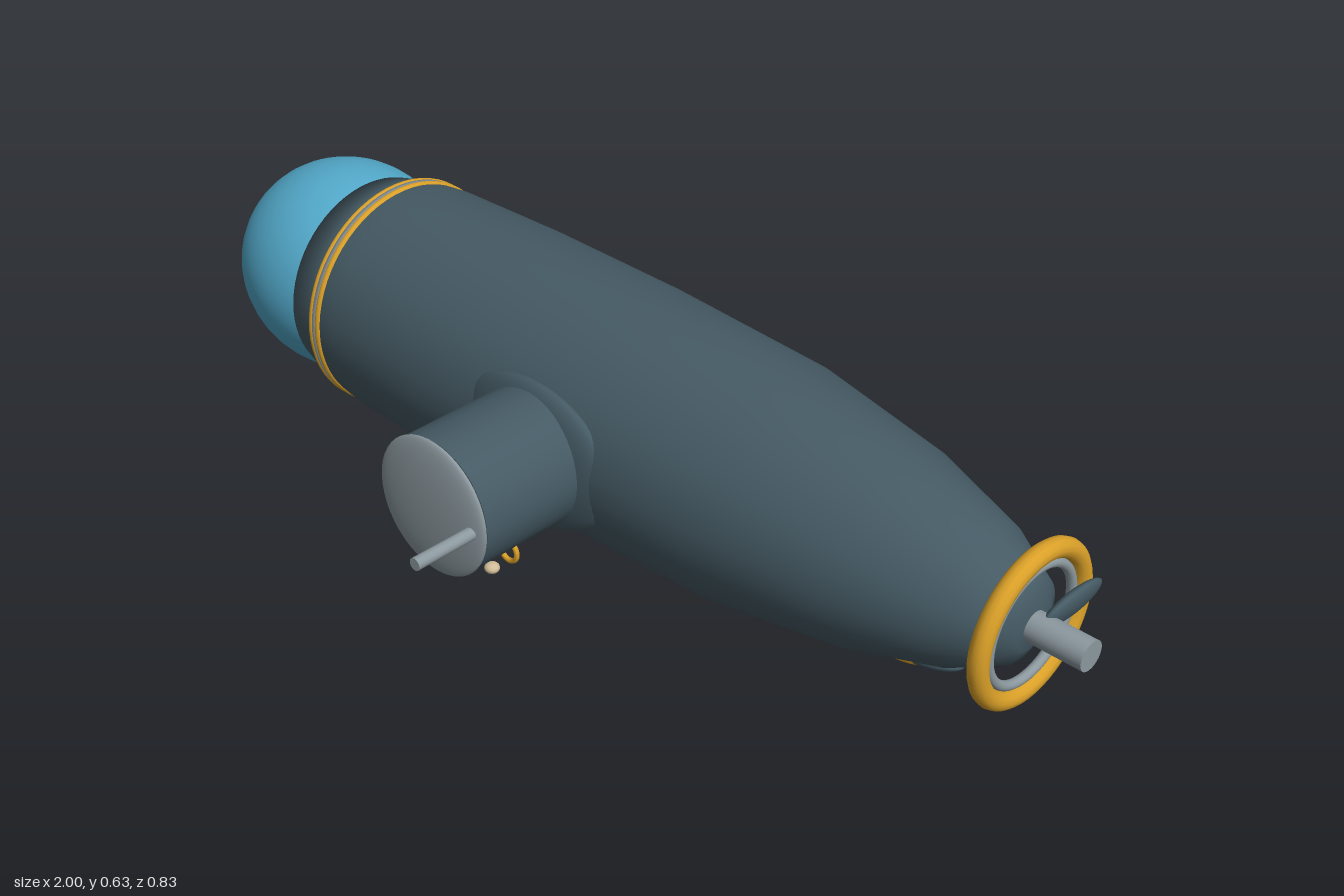
import * as THREE from 'three';

const mat = (name, color) => {
  const m = new THREE.MeshStandardMaterial({ color });
  m.name = name;
  return m;
};

export function createModel() {
  const slate = mat('slate hull', 0x455a64);
  const gold = mat('gold trim', 0xdaa028);
  const blue = mat('blue dome', 0x52a8c9);
  const steel = mat('pale steel', 0x8c999f);
  const cream = mat('cream lamp', 0xd2bd98);

  const model = new THREE.Group();
  model.name = 'submarine';
  const AY = 0.395, AZ = -0.172; // hull axis, running along x

  function add(name, geometry, material, x, y, z) {
    const mesh = new THREE.Mesh(geometry, material);
    mesh.name = name;
    mesh.position.set(x, y, z);
    model.add(mesh);
    return mesh;
  }
  const ellipsoid = (name, material, [x, y, z], [rx, ry, rz], seg = 32) =>
    add(name, new THREE.SphereGeometry(1, seg, seg / 2).scale(rx, ry, rz), material, x, y, z);
  const ringX = (name, material, x, radius, tube) =>
    add(name, new THREE.TorusGeometry(radius, tube, 12, 64).rotateY(Math.PI / 2), material, x, AY, AZ);
  const latheX = (name, material, profile) =>
    add(name, new THREE.LatheGeometry(profile.map(([x, r]) => new THREE.Vector2(r, x)), 64)
      .rotateZ(-Math.PI / 2), material, 0, AY, AZ);

  // Hull: profile of [x, radius] from nose to tail
  latheX('hull', slate, [
    [-0.705, 0], [-0.705, 0.203], [-0.64, 0.22], [-0.56, 0.229], [-0.32, 0.236], [-0.02, 0.236],
    [0.33, 0.224], [0.6, 0.183], [0.78, 0.13], [0.875, 0.078], [0.89, 0.045], [0.895, 0],
  ]);

  // Glass nose and the trim band behind it
  ellipsoid('noseDome', blue, [-0.775, AY, AZ], [0.225, 0.21, 0.21], 48);
  latheX('noseBand', steel, [[-0.622, 0.215], [-0.622, 0.227], [-0.608, 0.228], [-0.608, 0.215]]);
  for (const x of [-0.624, -0.606]) ringX('noseTrim', gold, x, 0.222, 0.007);

  // Tail rings, shaft and single propeller blade
  ringX('tailRing', gold, 0.885, 0.135, 0.018);
  ringX('innerTailRing', steel, 0.885, 0.109, 0.009);
  add('propellerShaft', new THREE.CylinderGeometry(0.028, 0.028, 0.14, 24).rotateZ(Math.PI / 2),
    steel, 0.93, AY, AZ);
  const blade = ellipsoid('propellerBlade', slate, [0.91, 0.412, -0.245], [0.014, 0.034, 0.078]);
  blade.rotation.z = -0.3;

  // Side turret facing forward: collar, barrel, end cap and probe
  const TX = -0.024, TY = 0.393;
  ellipsoid('turretCollar', slate, [TX, TY, 0.038], [0.187, 0.144, 0.036], 48);
  add('turretBarrel', new THREE.CylinderGeometry(0.129, 0.129, 0.3, 48).rotateX(Math.PI / 2),
    slate, TX, TY, 0.125);
  ellipsoid('turretCap', steel, [TX, TY, 0.28], [0.132, 0.132, 0.018], 48);
  add('turretProbe', new THREE.CylinderGeometry(0.012, 0.012, 0.15, 16).rotateX(Math.PI / 2),
    steel, 0.08, TY, 0.34);

  // Small lamp and hoop under the turret
  ellipsoid('turretLamp', cream, [0.055, 0.274, 0.22], [0.014, 0.01, 0.014], 16);
  add('turretHoop', new THREE.TorusGeometry(0.02, 0.005, 8, 32), gold, 0.055, 0.29, 0.18);

  // Blister on the rear flank
  ellipsoid('flankBlister', slate, [0.08, AY, -0.38], [0.205, 0.05, 0.034]);

  // Belly strut with ball foot, belly lamp and tiny tail lamp
  add('bellyStrut', new THREE.CylinderGeometry(0.029, 0.029, 0.15, 24), steel, -0.43, 0.125, -0.152);
  ellipsoid('strutBall', slate, [-0.43, 0.038, -0.152], [0.038, 0.038, 0.038]);
  ellipsoid('bellyLamp', cream, [-0.33, 0.168, -0.222], [0.027, 0.022, 0.027]);
  ellipsoid('tailLamp', cream, [0.608, 0.195, -0.272], [0.005, 0.005, 0.005], 12);

  // Tail fairing under the stern
  const pod = ellipsoid('tailFairing', slate, [0.7, 0.232, AZ], [0.075, 0.018, 0.033]);
  const podTrim = ellipsoid('tailFairingTrim', gold, [0.665, 0.222, AZ], [0.06, 0.017, 0.035]);
  pod.rotation.z = podTrim.rotation.z = 0.17;

  return model;
}
